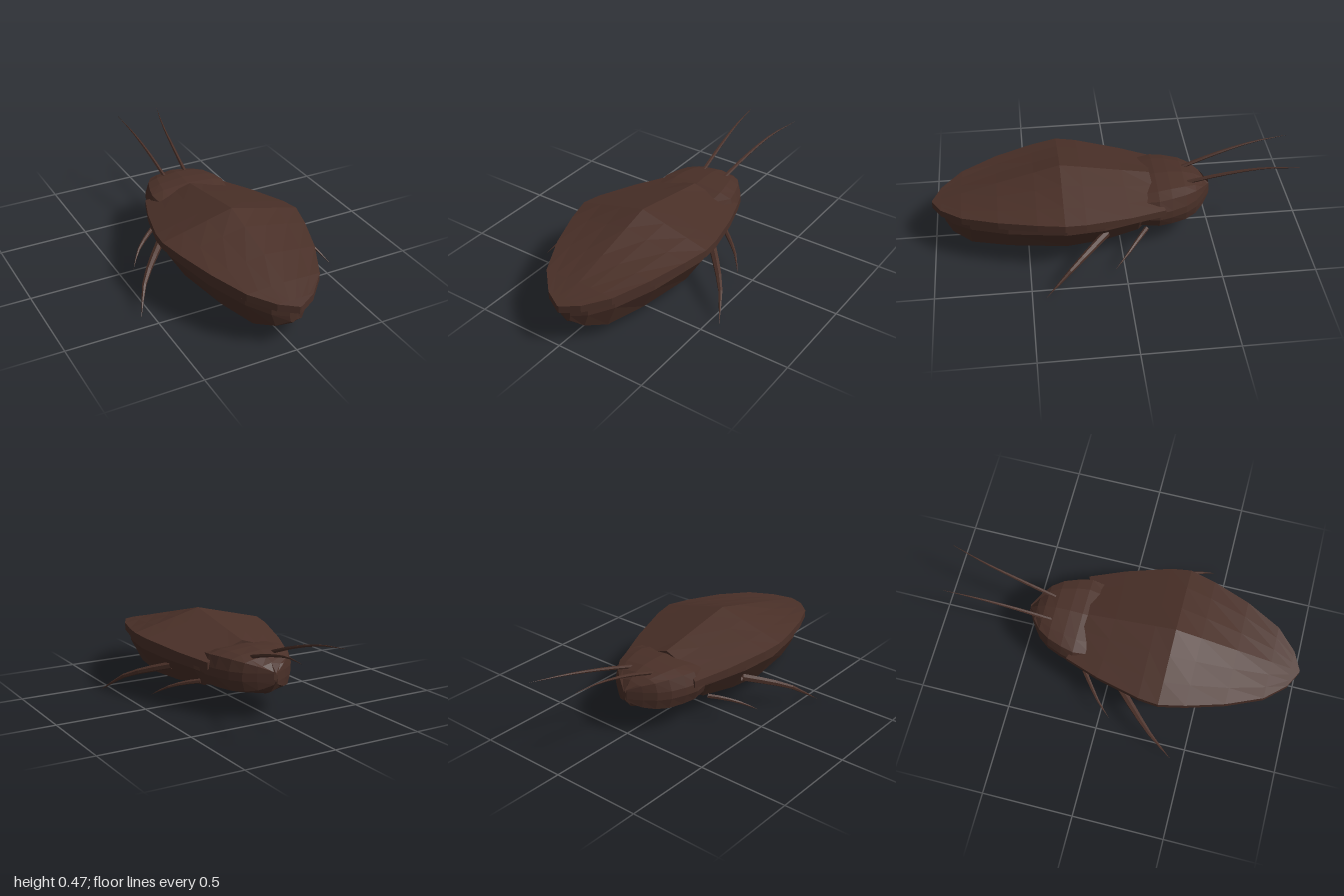
import * as THREE from 'three';

const CX = 0.01; // centre line of the body
const brown = new THREE.MeshStandardMaterial({ color: 0x4a3028, flatShading: true, side: THREE.DoubleSide });

// Mirrors a half section of columns [x, low, high, z], listed from the centre outward
function section(half) {
  const cols = [...half.slice(1).reverse().map(([x, lo, hi, z]) => [-x, lo, hi, z]), ...half];
  const lower = cols.map(([x, lo, , z]) => [CX + x, lo, z]);
  const upper = cols.map(([x, , hi, z]) => [CX + x, hi, z]).reverse();
  return [...lower, ...upper];
}

// Skins sections ordered by rising z and closes both ends
function loft(name, rings) {
  const n = rings[0].length, index = [];
  for (let i = 0; i < rings.length - 1; i++) {
    for (let j = 0; j < n; j++) {
      const k = (j + 1) % n;
      const a = i * n + j, b = i * n + k, c = a - j + n + k, d = a + n;
      index.push(a, b, c, a, c, d);
    }
  }
  const last = (rings.length - 1) * n;
  for (let j = 0; j < n / 2 - 1; j++) {
    const a = j, b = j + 1, c = n - 2 - j, d = n - 1 - j;
    index.push(a, c, b, a, d, c);
    index.push(last + a, last + b, last + c, last + a, last + c, last + d);
  }
  const geometry = new THREE.BufferGeometry();
  geometry.setAttribute('position', new THREE.Float32BufferAttribute(rings.flat(2), 3));
  geometry.setIndex(index);
  geometry.computeVertexNormals();
  const mesh = new THREE.Mesh(geometry, brown);
  mesh.name = name;
  return mesh;
}

// Tube through the points, narrowing to a point at its tip
function taperedTube(name, points, radius, segments, sides) {
  const curve = new THREE.CatmullRomCurve3(points.map((p) => new THREE.Vector3(...p)));
  const geometry = new THREE.TubeGeometry(curve, segments, radius, sides);
  const pos = geometry.attributes.position;
  const v = new THREE.Vector3();
  for (let i = 0; i <= segments; i++) {
    const centre = curve.getPointAt(i / segments);
    const shrink = 1 - Math.pow(i / segments, 1.6);
    for (let j = 0; j <= sides; j++) {
      const k = i * (sides + 1) + j;
      v.fromBufferAttribute(pos, k).sub(centre).multiplyScalar(shrink).add(centre);
      pos.setXYZ(k, v.x, v.y, v.z);
    }
  }
  geometry.computeVertexNormals();
  const mesh = new THREE.Mesh(geometry, brown);
  mesh.name = name;
  return mesh;
}

export function createModel() {
  const group = new THREE.Group();
  group.name = 'beetle';

  // Wing cover: thin ridged shell; rows are z, half width, ridge height, rim height, edge shift in z
  const shellRows = [
    [-0.17, 0.245, 0.35, 0.275, -0.06],
    [-0.02, 0.315, 0.376, 0.297, -0.02],
    [0.2, 0.38, 0.416, 0.325, 0],
    [0.31, 0.393, 0.435, 0.335, 0],
    [0.45, 0.36, 0.397, 0.327, 0],
    [0.65, 0.295, 0.344, 0.31, 0],
    [0.84, 0.205, 0.293, 0.285, 0],
    [0.95, 0.1, 0.263, 0.263, 0],
    [1, 0.004, 0.25, 0.25, 0],
  ];
  group.add(loft('wingCover', shellRows.map(([z, w, ridge, rim, shift]) => section(
    [0, 0.35, 0.7, 1].map((t) => {
      const y = THREE.MathUtils.lerp(ridge, rim, t);
      return [w * t, y - 0.04, y, z + shift * t * t];
    })))));

  // Abdomen: rows are z, half width, underside, rim height, rim thickness
  const bodyRows = [
    [-0.14, 0.21, 0.13, 0.24, 0.05],
    [-0.09, 0.25, 0.1, 0.25, 0.04],
    [0.1, 0.325, 0.09, 0.272, 0.04],
    [0.3, 0.357, 0.085, 0.285, 0.04],
    [0.6, 0.285, 0.075, 0.262, 0.04],
    [0.8, 0.19, 0.06, 0.235, 0.04],
    [0.9, 0.1, 0.088, 0.212, 0.04],
    [0.94, 0.02, 0.12, 0.2, 0.04],
  ];
  group.add(loft('abdomen', bodyRows.map(([z, w, low, rim, thick]) => section([
    [0, low, rim + 0.12 * w, z],
    [w * 0.74, low + 0.01, rim + 0.03 * w, z],
    [w, rim - thick, rim, z],
  ]))));

  // Head: rows are z, half width, underside, top
  const headRows = [
    [-0.5, 0.012, 0.2, 0.25],
    [-0.455, 0.085, 0.14, 0.295],
    [-0.41, 0.145, 0.12, 0.322],
    [-0.35, 0.19, 0.11, 0.338],
    [-0.27, 0.222, 0.112, 0.343],
    [-0.2, 0.24, 0.117, 0.34],
    [-0.1, 0.225, 0.125, 0.32],
  ];
  group.add(loft('head', headRows.map(([z, w, low, high]) => section([
    [0, low, high, z],
    [w * 0.62, low + 0.02, high - 0.012, z],
    [w * 0.9, low * 0.5 + 0.09, high * 0.6 + 0.107, z],
    [w, 0.205, 0.25, z],
  ]))));

  // Legs, a long and a short pair
  for (const [side, label] of [[1, 'Left'], [-1, 'Right']]) {
    const leg = (name, pts, radius) => group.add(
      taperedTube(name + label, pts.map(([x, y, z]) => [x * side, y, z]), radius, 5, 6));
    leg('rearLeg', [[0.3, 0.19, 0.09], [0.38, 0.16, 0.175], [0.48, 0.11, 0.29], [0.567, 0, 0.435]], 0.021);
    leg('frontLeg', [[0.24, 0.15, -0.13], [0.31, 0.135, -0.075], [0.38, 0.106, -0.015], [0.442, 0.053, 0.06]], 0.013);
  }

  // Antennae
  group.add(taperedTube('antennaLeft',
    [[0.075, 0.31, -0.35], [0.1, 0.37, -0.56], [0.135, 0.418, -0.78], [0.19, 0.44, -0.99]], 0.011, 8, 6));
  group.add(taperedTube('antennaRight',
    [[-0.055, 0.31, -0.33], [-0.067, 0.385, -0.54], [-0.08, 0.44, -0.75], [-0.09, 0.465, -0.95]], 0.011, 8, 6));

  return group;
}
